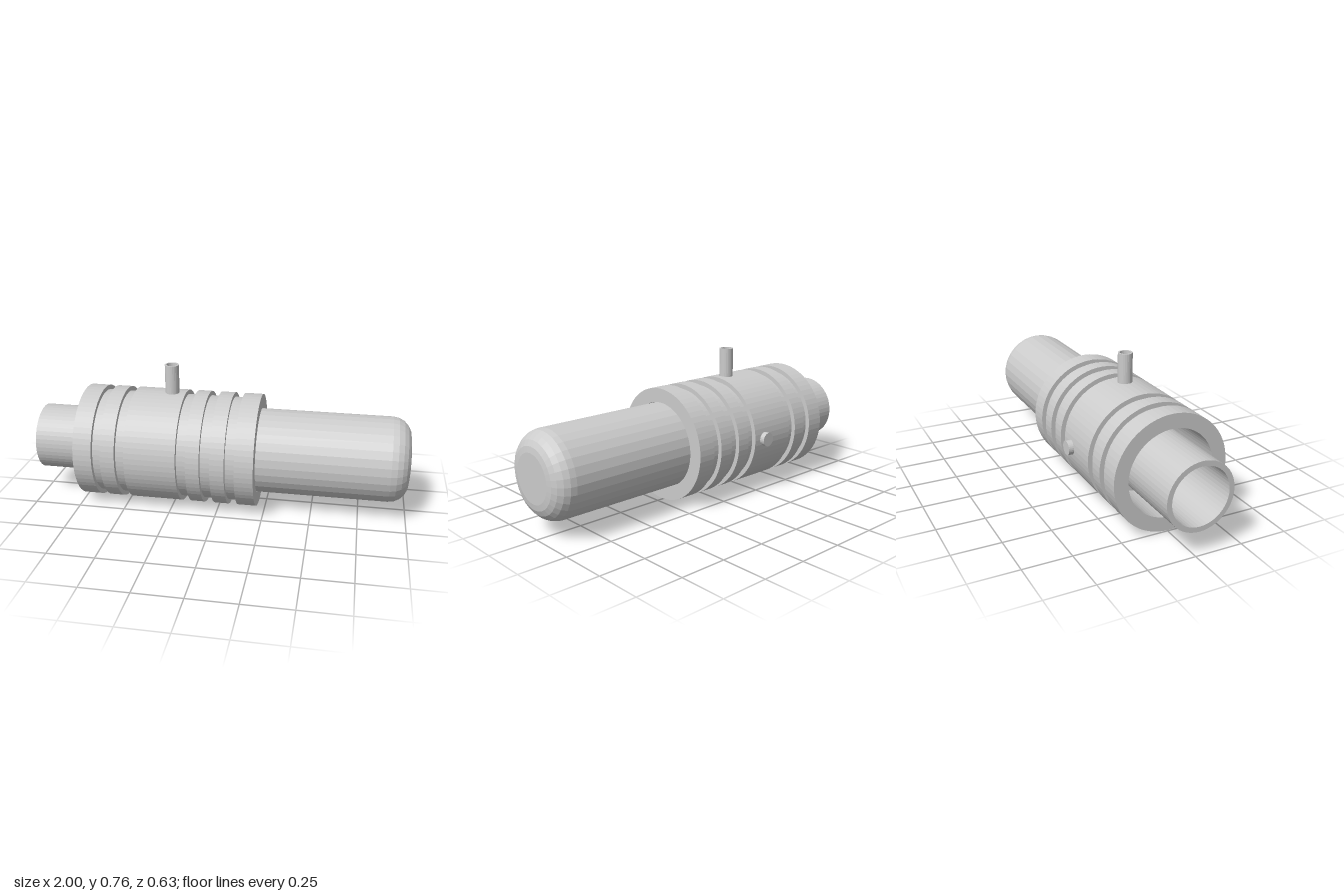
import * as THREE from 'three';

const AXIS_Y = 0.303, AXIS_Z = 0.013, PORT_X = -0.27;

export function createModel() {
  const group = new THREE.Group();
  const material = new THREE.MeshStandardMaterial({ color: 0xcccccc, flatShading: true });

  // Revolves [along, radius] pairs, listed outside first and then back through the bore
  const lathe = (name, profile, sides) => {
    const points = profile.map(([along, r]) => new THREE.Vector2(r, along));
    const mesh = new THREE.Mesh(new THREE.LatheGeometry(points, sides), material);
    mesh.name = name;
    group.add(mesh);
    return mesh;
  };
  const layAlongX = (mesh) => {
    mesh.rotation.z = -Math.PI / 2;
    mesh.position.set(0, AXIS_Y, AXIS_Z);
  };

  // Outer sleeve: open bore and five square grooves
  const R = 0.303, GROOVE_R = 0.279, BORE_R = 0.228, x0 = -0.745, x1 = 0.21;
  const grooves = [[-0.645, -0.597], [-0.52, -0.47], [-0.195, -0.142], [-0.07, -0.015], [0.06, 0.112]];
  const sleeve = [[x0, BORE_R], [x0, R]];
  for (const [a, b] of grooves) sleeve.push([a, R], [a, GROOVE_R], [b, GROOVE_R], [b, R]);
  sleeve.push([x1, R], [x1, BORE_R], [x0, BORE_R]);
  layAlongX(lathe('sleeve', sleeve, 64));

  // Round plug with a filleted nose, running back into the sleeve
  const PLUG_R = 0.226, FILLET = 0.1, back = -0.45;
  const plug = [[back, 0], [back, PLUG_R]];
  for (let i = 0; i <= 5; i++) {
    const a = (i / 5) * Math.PI / 2;
    plug.push([1 - FILLET + FILLET * Math.sin(a), PLUG_R - FILLET + FILLET * Math.cos(a)]);
  }
  plug.push([1, 0]);
  layAlongX(lathe('plug', plug, 32));

  // Narrow open tube at the rear
  layAlongX(lathe('rearTube',
    [[-1, 0.15], [-1, 0.176], [back, 0.176], [back, 0.15], [-1, 0.15]], 48));

  // Hollow upright pipe on top
  const pipe = lathe('topPipe',
    [[0.25, 0.028], [0.25, 0.0375], [0.457, 0.0375], [0.457, 0.028], [0.25, 0.028]], 24);
  pipe.position.set(PORT_X, AXIS_Y, AXIS_Z);

  // Short stud on the back
  const stud = lathe('backStud', [[0.25, 0], [0.25, 0.0375], [0.329, 0.0375], [0.329, 0]], 24);
  stud.rotation.x = -Math.PI / 2;
  stud.position.set(PORT_X, AXIS_Y, AXIS_Z);

  return group;
}
